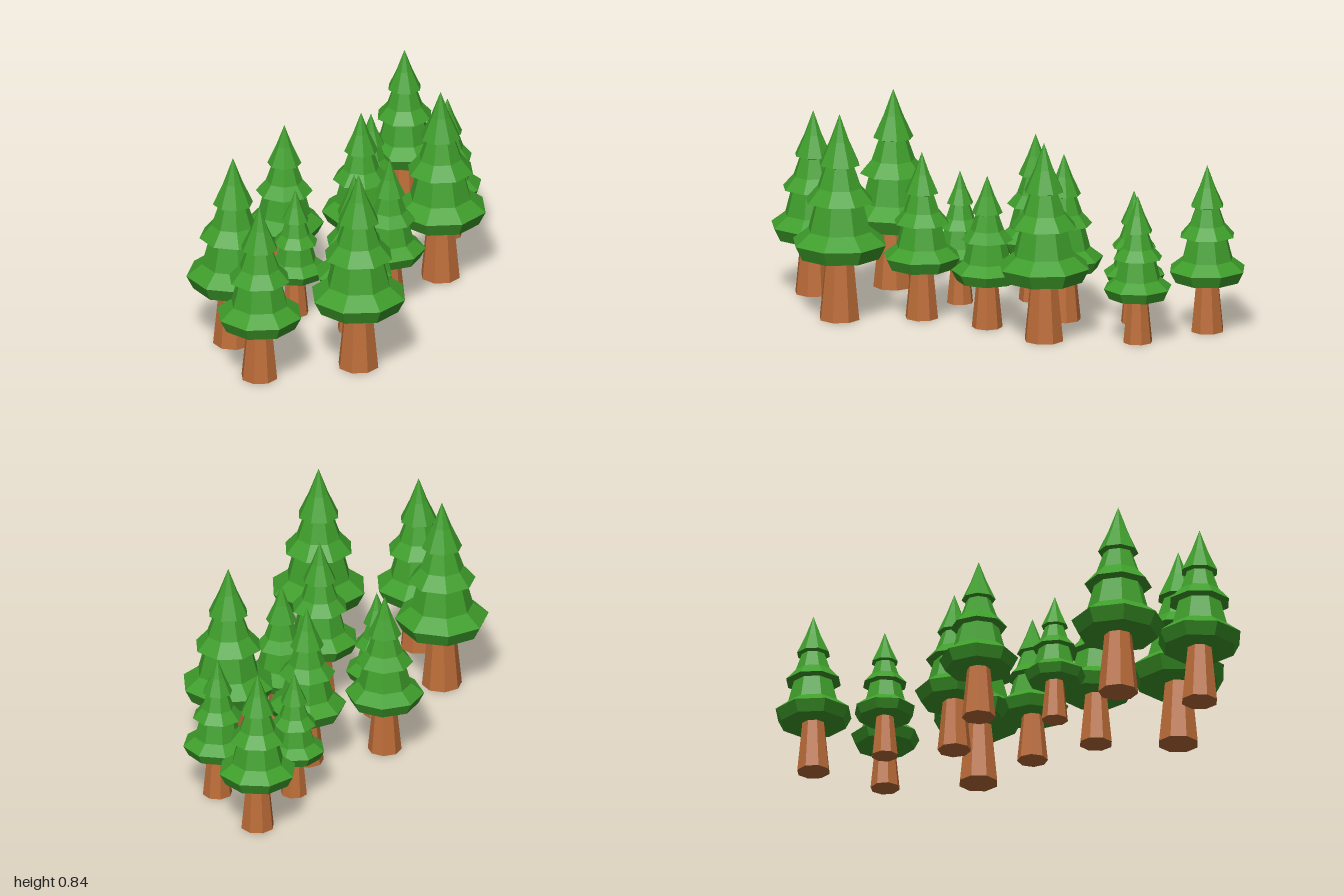
import * as THREE from 'three';

const SIDES = 8;

// x, z, height, turn in degrees
const TREES = [
  [-0.17, -0.84, 0.68, 0],
  [0.10, -0.66, 0.60, 5],
  [-0.17, -0.52, 0.54, -10],
  [-0.09, -0.25, 0.68, 12],
  [0.23, -0.31, 0.81, -7],
  [-0.32, -0.02, 0.68, 22],
  [0.14, -0.02, 0.62, 22],
  [-0.155, 0.235, 0.54, 5],
  [0.12, 0.275, 0.68, -8],
  [-0.27, 0.58, 0.81, 10],
  [0.272, 0.565, 0.84, -6],
  [-0.042, 0.825, 0.75, -7],
];

// Foliage outline for a tree of height 1, from the hem up: three flared tiers
const FOLIAGE = [
  [0, 0.306], [0.197, 0.306], [0.232, 0.375], [0.155, 0.435],
  [0.120, 0.568], [0.167, 0.577], [0.108, 0.645],
  [0.072, 0.748], [0.100, 0.756], [0.048, 0.870], [0, 1],
].map(([r, y]) => new THREE.Vector2(r, y));

export function createModel() {
  const group = new THREE.Group();
  group.name = 'pineGrove';

  const green = new THREE.MeshStandardMaterial({ color: 0x3f9e2b, flatShading: true });
  const brown = new THREE.MeshStandardMaterial({ color: 0xbd6d38, flatShading: true });

  const foliageGeometry = new THREE.LatheGeometry(FOLIAGE, SIDES);
  const trunkGeometry = new THREE.CylinderGeometry(0.068, 0.099, 0.31, SIDES);
  trunkGeometry.translate(0, 0.155, 0);

  for (const [x, z, height, turn] of TREES) {
    const tree = new THREE.Group();
    tree.name = 'tree';

    // Tapered trunk
    const trunk = new THREE.Mesh(trunkGeometry, brown);
    trunk.name = 'trunk';

    // Tiered foliage
    const foliage = new THREE.Mesh(foliageGeometry, green);
    foliage.name = 'foliage';

    tree.add(trunk, foliage);
    tree.scale.setScalar(height);
    tree.rotation.y = -THREE.MathUtils.degToRad(turn);
    tree.position.set(x, 0, z);
    group.add(tree);
  }
  return group;
}
